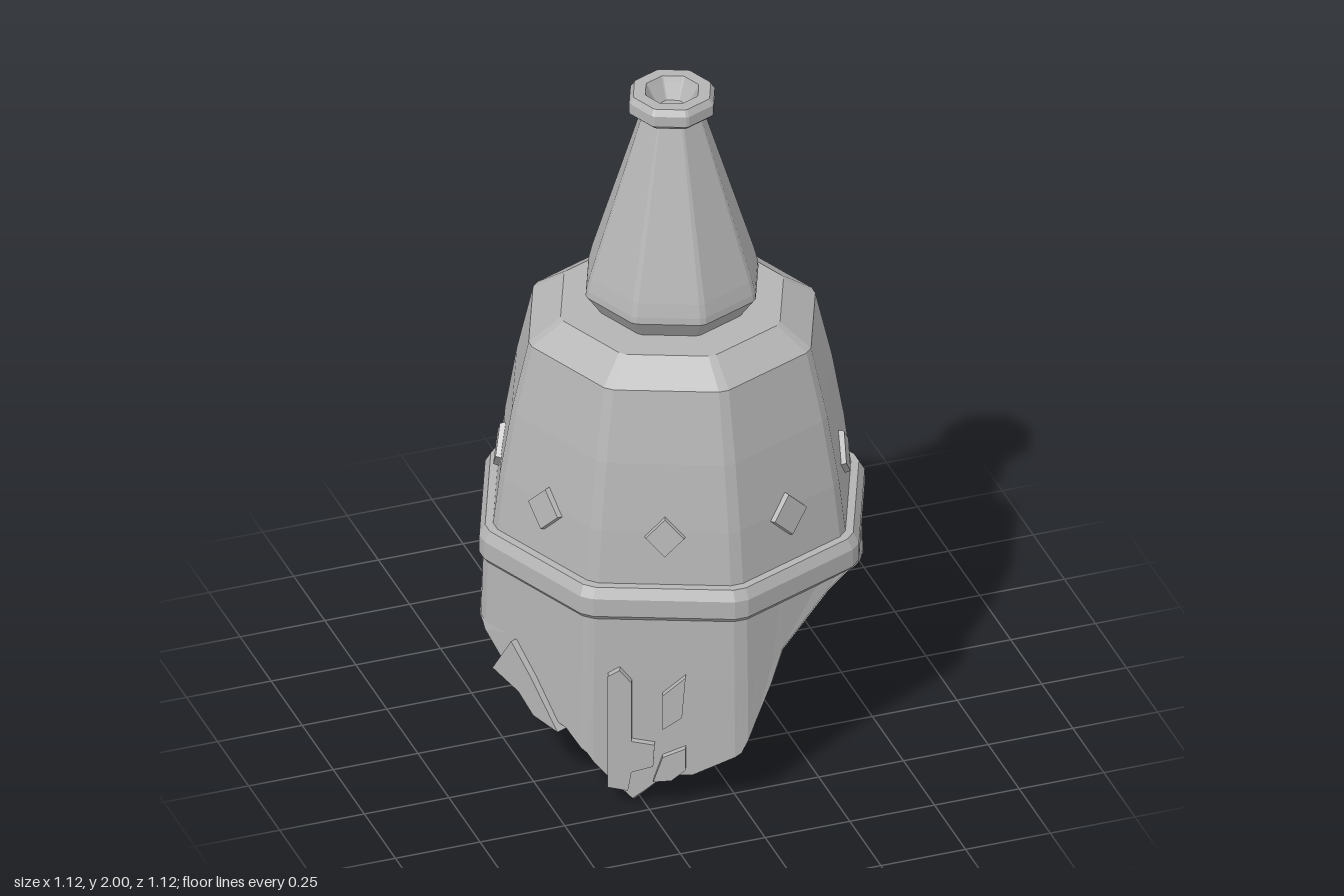
import * as THREE from 'three';

const RAD = Math.PI / 180;
const metal = new THREE.MeshStandardMaterial({ color: 0xb4b4b4 });
metal.name = 'grey metal';

// Octagon with slightly cut corners: radius at an angle (from +z towards +x), 1 at a corner
function octagon(deg) {
  const m = Math.abs((((deg % 45) + 45) % 45) - 22.5) * RAD, h = 22.5 * RAD;
  return Math.min(Math.cos(h) / Math.cos(m), 0.986 / Math.cos(h - m)) / 0.986;
}

const corners = [];
for (let k = 0; k < 8; k++) corners.push(k * 45 - 2, k * 45 + 2);

// Surface through rows of [radius, height]; a row may be a function of the angle.
function loft(name, rows, angles = corners) {
  const pts = rows.map(row => angles.map(a => {
    const [r, y] = typeof row === 'function' ? row(a) : row;
    const d = r * octagon(a);
    return [d * Math.sin(a * RAD), y, d * Math.cos(a * RAD)];
  }));
  const pos = [], n = angles.length;
  for (let j = 0; j < rows.length - 1; j++) {
    for (let i = 0; i < n; i++) {
      const k = (i + 1) % n;
      const a = pts[j][i], b = pts[j][k], c = pts[j + 1][k], d = pts[j + 1][i];
      pos.push(...a, ...b, ...c, ...a, ...c, ...d);
    }
  }
  const geo = new THREE.BufferGeometry();
  geo.setAttribute('position', new THREE.Float32BufferAttribute(pos, 3));
  geo.computeVertexNormals();
  const mesh = new THREE.Mesh(geo, metal);
  mesh.name = name;
  return mesh;
}

// Broken lower rim: [angle, height]
const rim = [
  [0, 0.15], [5, 0.24], [11, 0.34], [15.5, 0.43], [34, 0.55], [42, 0.585], [48, 0.58], [56, 0.53],
  [67, 0.48], [79, 0.43], [90, 0.36], [95, 0.34], [97, 0.27], [111, 0.22], [113, 0.17], [122, 0.15],
  [135, 0.15], [140, 0.17], [146, 0.25], [157, 0.32], [169, 0.34], [180, 0.43], [203, 0.48],
  [225, 0.51], [248, 0.46], [270, 0.38], [281, 0.28], [296, 0.2], [307, 0.19], [315, 0.14],
  [321, 0.07], [328, 0], [332, 0.03], [338, 0.08], [346, 0.08], [360, 0.15],
];
function rimHeight(deg) {
  const a = ((deg % 360) + 360) % 360;
  const i = Math.max(1, rim.findIndex(p => p[0] >= a));
  const [a0, y0] = rim[i - 1], [a1, y1] = rim[i];
  return y0 + (y1 - y0) * (a - a0) / (a1 - a0);
}

// Raised shape on one flat face of the skirt, drawn in (sideways, height)
function relief(deg, points) {
  const shape = new THREE.Shape(points.map(p => new THREE.Vector2(...p)));
  const geo = new THREE.ExtrudeGeometry(shape, { depth: 0.045, bevelEnabled: false });
  const mesh = new THREE.Mesh(geo, metal);
  mesh.name = 'raisedCarving';
  mesh.rotation.y = deg * RAD;
  mesh.position.set(0.497 * Math.sin(deg * RAD), 0, 0.497 * Math.cos(deg * RAD));
  return mesh;
}

export function createModel() {
  const model = new THREE.Group();
  model.name = 'helmet';

  // Skirt: inner lining, thick broken rim, outer wall
  const angles = [...new Set([...corners, ...rim.slice(0, -1).map(p => p[0])].map(a => (a + 360) % 360))]
    .sort((a, b) => a - b);
  model.add(loft('skirt', [
    [0, 1.25], [0.34, 1.22], [0.44, 0.85], [0.475, 0.62],
    a => [0.487, rimHeight(a) + 0.015],
    a => [0.535, rimHeight(a)],
    a => [0.56, rimHeight(a) + 0.015],
    a => [0.557, Math.max(0.4, rimHeight(a) + 0.016)],
    [0.55, 0.63],
  ], angles));

  // Brow band and domed cap
  model.add(loft('browBand', [
    [0.5, 0.59], [0.55, 0.59], [0.562, 0.605], [0.562, 0.66], [0.545, 0.69], [0.5, 0.692],
  ]));
  model.add(loft('cap', [
    [0.523, 0.68], [0.502, 0.85], [0.467, 1.05], [0.418, 1.26], [0.325, 1.323], [0, 1.323],
  ]));

  // Hollow-tipped spire and its collar
  model.add(loft('spire', [
    [0.21, 1.32], [0.252, 1.38], [0.25, 1.4], [0.24, 1.44], [0.085, 1.94],
  ]));
  model.add(loft('collar', [
    [0.08, 1.935], [0.108, 1.935], [0.125, 1.95], [0.125, 1.982], [0.113, 2],
    [0.078, 2], [0.07, 1.985], [0.045, 1.94], [0, 1.94],
  ]));

  // Diamond stud on each face of the cap
  [0.07, 0.077, 0.092, 0.068, 0.08, 0.08, 0.07, 0.062].forEach((w, k) => {
    const a = (22.5 + 45 * k) * RAD;
    const geo = new THREE.CylinderGeometry(0.86, 1, 0.04, 4).toNonIndexed();
    geo.rotateX(Math.PI / 2);
    geo.scale(w, w * 0.7 + 0.022, 1);
    geo.computeVertexNormals();
    const stud = new THREE.Mesh(geo, metal);
    stud.name = 'diamondStud';
    stud.rotation.set(-0.14, a, 0, 'YXZ');
    stud.position.set(0.467 * Math.sin(a), 0.835, 0.467 * Math.cos(a));
    model.add(stud);
  });

  // Raised angular carvings on the long front cheek
  model.add(
    relief(-22.5, [[-0.156, 0.42], [-0.156, 0.06], [-0.1, 0.05], [-0.09, 0.11], [-0.03, 0.13],
      [-0.026, 0.2], [-0.09, 0.21], [-0.09, 0.4], [-0.123, 0.44]]),
    relief(-22.5, [[-0.004, 0.25], [0.05, 0.29], [0.06, 0.42], [-0.004, 0.36]]),
    relief(-22.5, [[-0.03, 0.08], [0.02, 0.085], [0.06, 0.12], [0.06, 0.19], [-0.004, 0.16]]),
    relief(-67.5, [[-0.07, 0.4], [-0.146, 0.28], [-0.04, 0.25], [0.02, 0.2], [0.12, 0.19], [0.01, 0.32]]),
  );

  // Arched and slanted carvings on the rear cheek
  model.add(
    relief(112.5, [[-0.147, 0.3], [-0.1, 0.27], [-0.1, 0.36], [-0.06, 0.36], [-0.05, 0.23],
      [-0.006, 0.22], [-0.006, 0.44], [-0.14, 0.45]]),
    relief(112.5, [[0.026, 0.16], [0.07, 0.16], [0.07, 0.38], [0.112, 0.38], [0.112, 0.16],
      [0.156, 0.16], [0.156, 0.43], [0.04, 0.43]]),
    relief(157.5, [[-0.16, 0.46], [-0.16, 0.3], [-0.08, 0.27], [-0.1, 0.38]]),
    relief(157.5, [[-0.05, 0.42], [0.03, 0.32], [0.1, 0.33], [0.0, 0.44]]),
  );
  return model;
}
